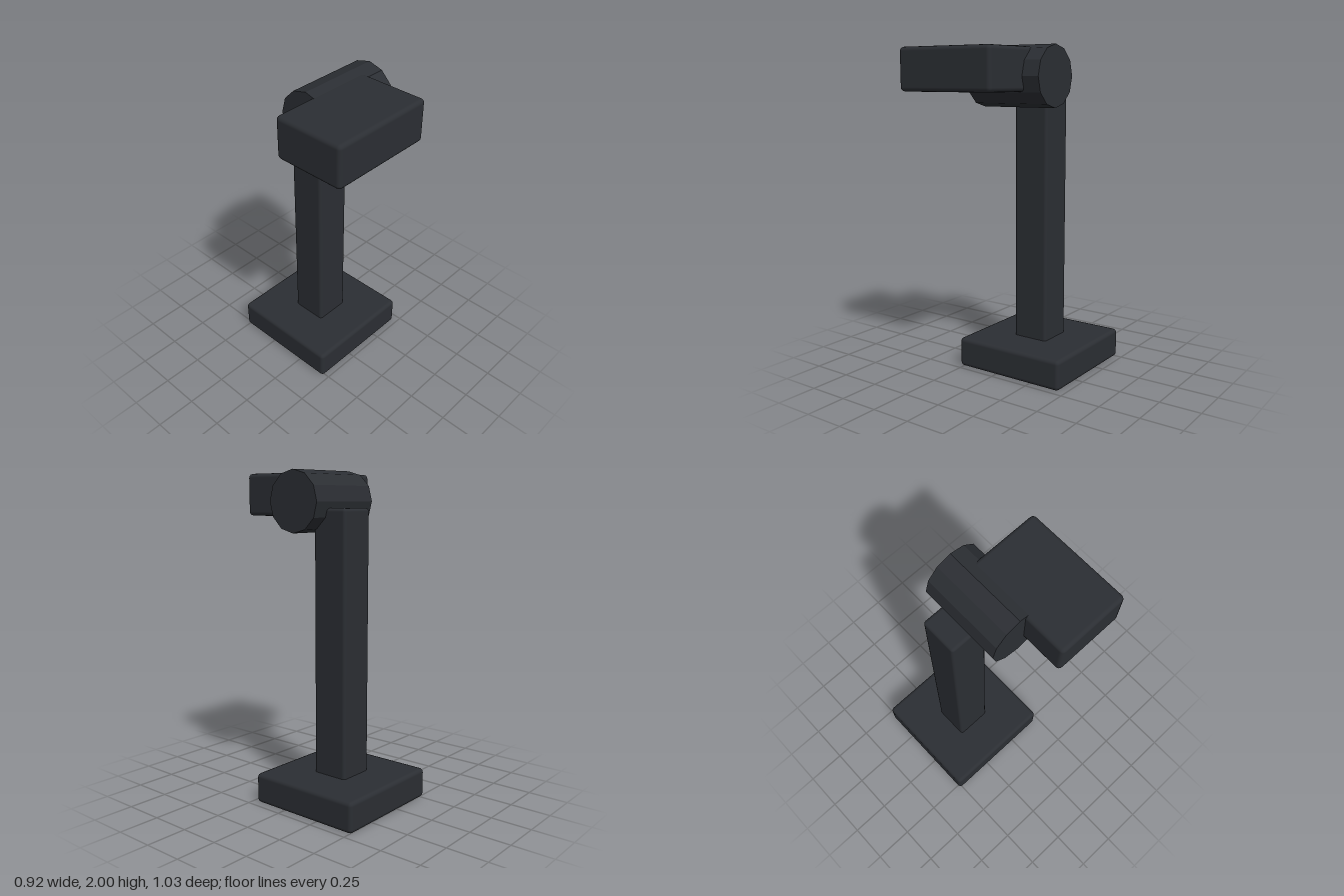
import * as THREE from 'three';
import { RoundedBoxGeometry } from 'three/addons/geometries/RoundedBoxGeometry.js';

export function createModel() {
  const group = new THREE.Group();
  const dark = new THREE.MeshStandardMaterial({ color: 0x2b2e33 });
  const darkFlat = new THREE.MeshStandardMaterial({ color: 0x2b2e33, flatShading: true });

  // Box with softened edges, given by its extents along each axis
  function block(name, [x0, x1], [y0, y1], [z0, z1], radius) {
    const geometry = new RoundedBoxGeometry(x1 - x0, y1 - y0, z1 - z0, 2, radius);
    const mesh = new THREE.Mesh(geometry, dark);
    mesh.name = name;
    mesh.position.set((x0 + x1) / 2, (y0 + y1) / 2, (z0 + z1) / 2);
    group.add(mesh);
  }

  block('base', [-0.275, 0.46], [0, 0.185], [-0.517, 0.22], 0.025);
  block('column', [-0.025, 0.207], [0.1, 1.78], [-0.265, -0.032], 0.02);
  block('head', [-0.46, 0.2], [1.73, 1.985], [0.075, 0.517], 0.025);

  // Twelve-sided pivot lying across the top of the column
  const pivot = new THREE.Mesh(new THREE.CylinderGeometry(0.182, 0.182, 0.51, 12), darkFlat);
  pivot.name = 'pivot';
  pivot.rotation.z = Math.PI / 2;
  pivot.position.set(0.055, 1.818, 0.036);
  group.add(pivot);

  return group;
}
